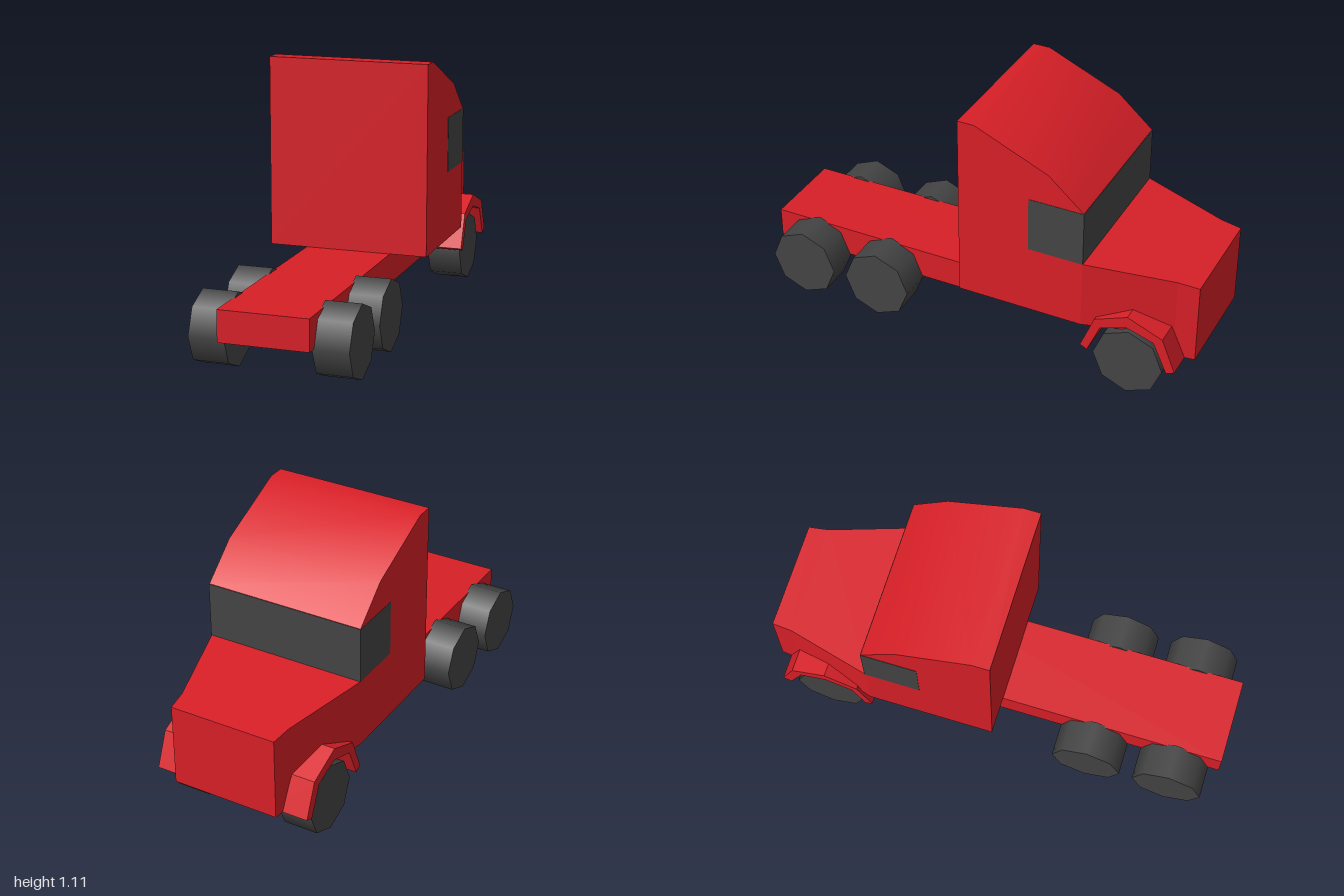
import * as THREE from 'three';
import { toCreasedNormals } from 'three/addons/utils/BufferGeometryUtils.js';

const red = new THREE.MeshStandardMaterial({ color: 0xd81f27 });
const dark = new THREE.MeshStandardMaterial({ color: 0x444444 });

// Extrudes a side outline of [z, y] points across x, centred on x = 0.
function sideExtrude(points, width) {
  const shape = new THREE.Shape(points.map(([z, y]) => new THREE.Vector2(z, y)));
  const geometry = new THREE.ExtrudeGeometry(shape, { depth: width, bevelEnabled: false });
  geometry.translate(0, 0, -width / 2).rotateY(-Math.PI / 2);
  return geometry;
}

// Narrows an extrusion linearly from half-width w0 at z0 to w1 at z1.
function taper(geometry, z0, w0, z1, w1) {
  const p = geometry.attributes.position;
  for (let i = 0; i < p.count; i++) {
    const t = (p.getZ(i) - z0) / (z1 - z0);
    p.setX(i, Math.sign(p.getX(i)) * (w0 + (w1 - w0) * t));
  }
  geometry.computeVertexNormals();
  return geometry;
}

export function createModel() {
  const truck = new THREE.Group();
  truck.name = 'truck';

  const add = (name, geometry, material, x = 0, y = 0, z = 0) => {
    const mesh = new THREE.Mesh(geometry, material);
    mesh.name = name;
    mesh.position.set(x, y, z);
    truck.add(mesh);
    return mesh;
  };

  // Chassis rail
  add('chassis', new THREE.BoxGeometry(0.376, 0.132, 1.54), red, 0, 0.223, 0.23);

  // Sleeper cab with sloping roof
  const cab = sideExtrude([
    [0.015, 0.29], [0.015, 1.11], [-0.06, 1.11], [-0.385, 0.97],
    [-0.54, 0.835], [-0.54, 0.29],
  ], 0.7);
  add('cab', toCreasedNormals(cab, 0.52), red);

  // Hood tapering to the nose
  const hood = sideExtrude([
    [-0.54, 0.29], [-0.91, 0.29], [-0.91, 0.554], [-0.54, 0.592],
  ], 0.7);
  add('hood', taper(hood, -0.54, 0.35, -0.91, 0.245), red);
  const nose = sideExtrude([
    [-0.91, 0.187], [-1, 0.187], [-1, 0.545], [-0.91, 0.554],
  ], 0.49);
  add('nose', taper(nose, -0.91, 0.245, -1, 0.235), red);

  // Wrap-around windshield and side windows
  add('windows', new THREE.BoxGeometry(0.703, 0.241, 0.242), dark, 0, 0.713, -0.421);

  // Fenders and wheels on both sides
  const fender = sideExtrude([
    [-0.54, 0.187], [-0.6, 0.337], [-0.743, 0.396], [-0.897, 0.334], [-0.957, 0.187],
    [-0.92, 0.172], [-0.86, 0.305], [-0.743, 0.342], [-0.627, 0.303], [-0.572, 0.172],
  ], 0.16);
  const wheel = new THREE.CylinderGeometry(0.153, 0.153, 0.15, 8).rotateZ(Math.PI / 2);
  for (const [side, s] of [['left', 1], ['right', -1]]) {
    add(`${side}Fender`, fender, red, s * 0.27);
    [-0.743, 0.435, 0.8].forEach((z, i) => {
      add(`${side}${['Front', 'Middle', 'Rear'][i]}Wheel`, wheel, dark, s * 0.255, 0.153, z);
    });
  }

  return truck;
}
